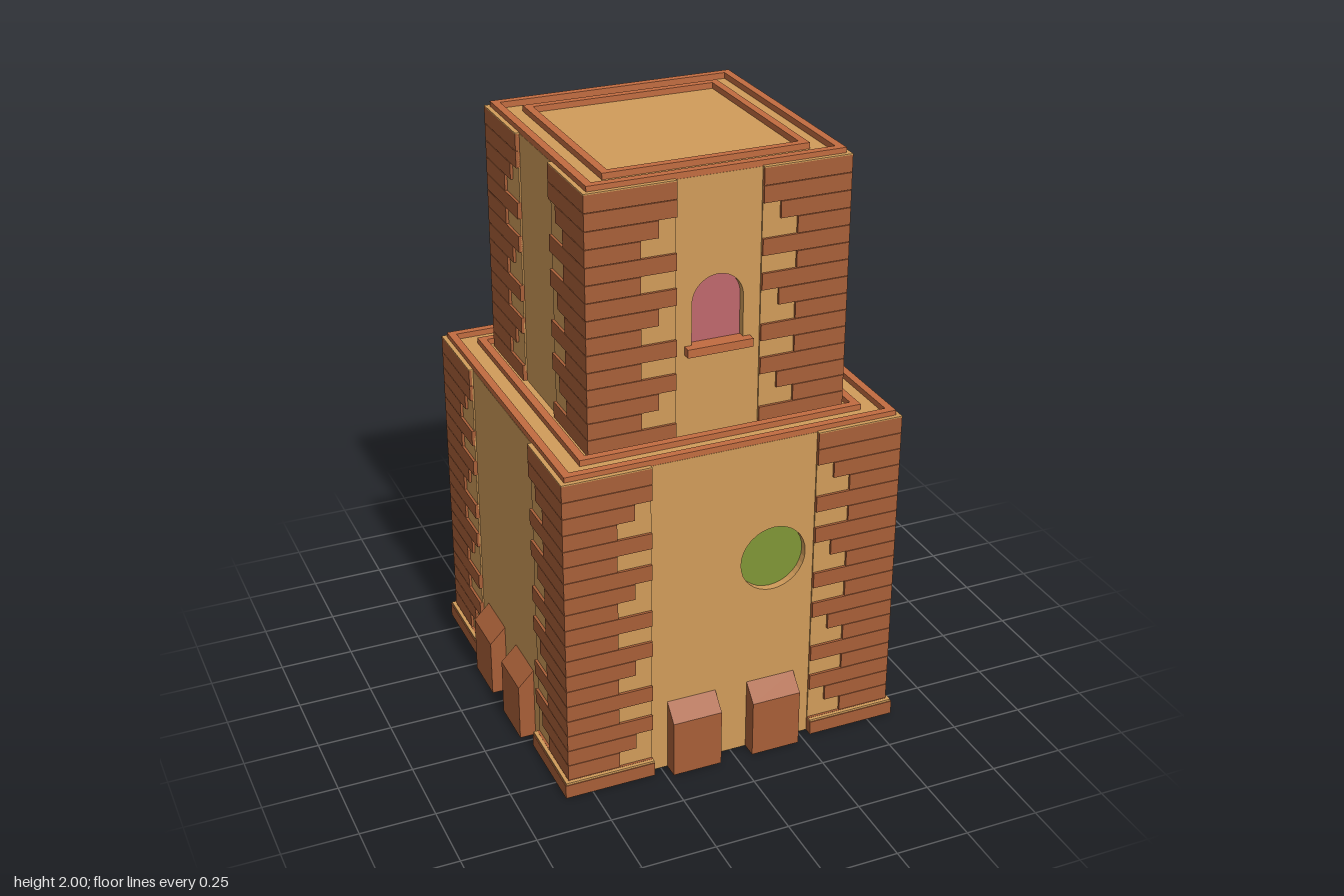
import * as THREE from 'three';
import { mergeGeometries } from 'three/addons/utils/BufferGeometryUtils.js';

const mat = (color) => new THREE.MeshStandardMaterial({ color });
const PLASTER = mat(0xd19c5a), BRICK = mat(0xa85f38), TRIM = mat(0xc26c40);
const GLASS = mat(0xbf686c), GREEN = mat(0x7f9636);
const TILE = 0.2829, ROW = TILE / 5;

function add(parent, name, geometry, material, x = 0, y = 0, z = 0) {
  const m = new THREE.Mesh(geometry, material);
  m.name = name;
  m.position.set(x, y, z);
  parent.add(m);
  return m;
}

const box = (w, h, d) => new THREE.BoxGeometry(w, h, d);
const extrude = (shape, depth) =>
  new THREE.ExtrudeGeometry(shape, { depth, bevelEnabled: false, curveSegments: 16 });

// Round-headed outline, standing on y0 and centred on x
function trace(path, o) {
  if (o.round) return path.absarc(o.x, o.y, o.r, 0, Math.PI * 2), path;
  path.moveTo(o.x - 0.086, o.y);
  path.lineTo(o.x + 0.086, o.y);
  path.absarc(o.x, o.y + 0.142, 0.086, 0, Math.PI, false);
  path.lineTo(o.x - 0.086, o.y);
  return path;
}

// One outer wall with recessed openings, facing +z before it is turned
function wall(parent, name, half, y0, y1, openings, turn) {
  const g = new THREE.Group();
  g.name = name;
  g.rotation.y = turn;
  parent.add(g);
  const s = new THREE.Shape([[-half, y0], [half, y0], [half, y1], [-half, y1]]
    .map(([x, y]) => new THREE.Vector2(x, y)));
  openings.forEach((o) => s.holes.push(trace(new THREE.Path(), o)));
  add(g, 'wallPanel', extrude(s, 0.03), PLASTER, 0, 0, half - 0.03);
  for (const o of openings) {
    const pane = new THREE.ShapeGeometry(trace(new THREE.Shape(), o), 16);
    add(g, o.round ? 'roundPane' : 'windowPane', pane, o.round ? GREEN : GLASS, 0, 0, half - 0.025);
    if (!o.round) add(g, 'windowSill', box(0.22, 0.028, 0.05), TRIM, o.x, o.y - 0.008, half + 0.003);
  }
  return g;
}

// L-shaped block around the +x +z corner
function cornerBlock(inner, outer, back, y, h) {
  const pts = [[inner, back], [inner, outer], [outer, outer], [outer, inner], [back, inner], [back, back]];
  const s = new THREE.Shape(pts.map(([x, z]) => new THREE.Vector2(x, -z)));
  return extrude(s, h).rotateX(-Math.PI / 2).translate(0, y, 0);
}

// Stepped brick quoins over plaster on all four corners
function quoins(parent, half, inner, outer, y0, rows) {
  const step = [0, 0.058, 0, 0.116, 0.058];
  const back = half - 0.02, bricks = [];
  // rows are counted downward from the top of each storey
  const offsets = [0.116, step[0], step[1], 0.116, step[2]];
  for (let i = 0; i < rows; i++) {
    const fromTop = rows - 1 - i;
    const off = fromTop === 0 || i === 0 ? 0 : offsets[fromTop % 5];
    bricks.push(cornerBlock(inner + off, outer, back, y0 + i * ROW + 0.001, ROW - 0.002));
  }
  const brickwork = mergeGeometries(bricks);
  const height = rows * ROW;
  const plaster = mergeGeometries([
    cornerBlock(inner, half + 0.005, back, y0, height),
    cornerBlock(inner, outer, back, y0 + height - 0.001, 0.004),
  ]);
  for (let k = 0; k < 4; k++) {
    add(parent, 'cornerBricks', brickwork, BRICK).rotation.y = k * Math.PI / 2;
    add(parent, 'cornerPlaster', plaster, PLASTER).rotation.y = k * Math.PI / 2;
  }
}

// Square rim, flat on top
function rim(parent, name, outer, inner, y, h) {
  const sq = (r) => [[-r, -r], [r, -r], [r, r], [-r, r]].map(([x, z]) => new THREE.Vector2(x, z));
  const s = new THREE.Shape(sq(outer));
  s.holes.push(new THREE.Path(sq(inner)));
  add(parent, name, extrude(s, h).rotateX(-Math.PI / 2), TRIM, 0, y, 0);
}

// A tower storey block: core, walls, quoins and the double rim at the top
function tower(name, half, inner, outer, y0, tiles, openings) {
  const g = new THREE.Group();
  g.name = name;
  const h = tiles * TILE, top = y0 + h, core = 2 * half - 0.06;
  add(g, 'core', box(core, h, core), PLASTER, 0, y0 + h / 2, 0);
  ['front', 'left', 'back', 'right'].forEach((side, k) =>
    wall(g, side + 'Wall', half, y0, top, openings[k], k * Math.PI / 2));
  quoins(g, half, inner, outer, y0, tiles * 5);
  rim(g, 'outerRim', half - 0.001, half - 0.027, top, 0.02);
  rim(g, 'innerRim', half - 0.083, half - 0.109, top, 0.02);
  return g;
}

export function createModel() {
  const model = new THREE.Group();
  model.name = 'tower';
  const half = 0.563, t = TILE / 2;
  const win = (x, y) => ({ x, y });

  // Openings are listed front, left (+x), back, right; x runs rightward seen from outside
  const lower = tower('lowerTower', half, 0.283, 0.577, 0, 4, [
    [{ round: true, x: t, y: 2.5 * TILE, r: 0.114 }],
    [win(-t, TILE + 0.027)],
    [win(-t, TILE + 0.027), win(-t, 2 * TILE + 0.027), win(t, 2 * TILE + 0.027)],
    [],
  ]);
  const y1 = 4 * TILE;
  const upper = tower('upperTower', 0.422, 0.1415, 0.436, y1, 3, [
    [win(0, 5 * TILE + 0.017)],
    [win(0, 5 * TILE + 0.017)],
    [],
    [],
  ]);
  model.add(lower, upper);

  // Sloped buttresses, two on each side, and the corner plinths
  const profile = new THREE.Shape([[0.55, 0], [0.617, 0], [0.617, 0.2], [0.563, 0.255], [0.55, 0.255]]
    .map(([z, y]) => new THREE.Vector2(z, y)));
  const buttress = extrude(profile, 0.17).translate(0, 0, -0.085).rotateY(-Math.PI / 2);
  const plinth = cornerBlock(0.283, 0.592, 0.55, 0, 0.048);
  const plinthCap = cornerBlock(0.283, 0.589, 0.55, 0.048, 0.007);
  for (let k = 0; k < 4; k++) {
    const side = new THREE.Group();
    side.name = 'baseSide';
    side.rotation.y = k * Math.PI / 2;
    for (const s of [-1, 1]) add(side, 'buttress', buttress, BRICK, s * t, 0, 0);
    add(side, 'cornerPlinth', plinth, BRICK);
    add(side, 'cornerPlinthCap', plinthCap, PLASTER);
    model.add(side);
  }
  return model;
}
